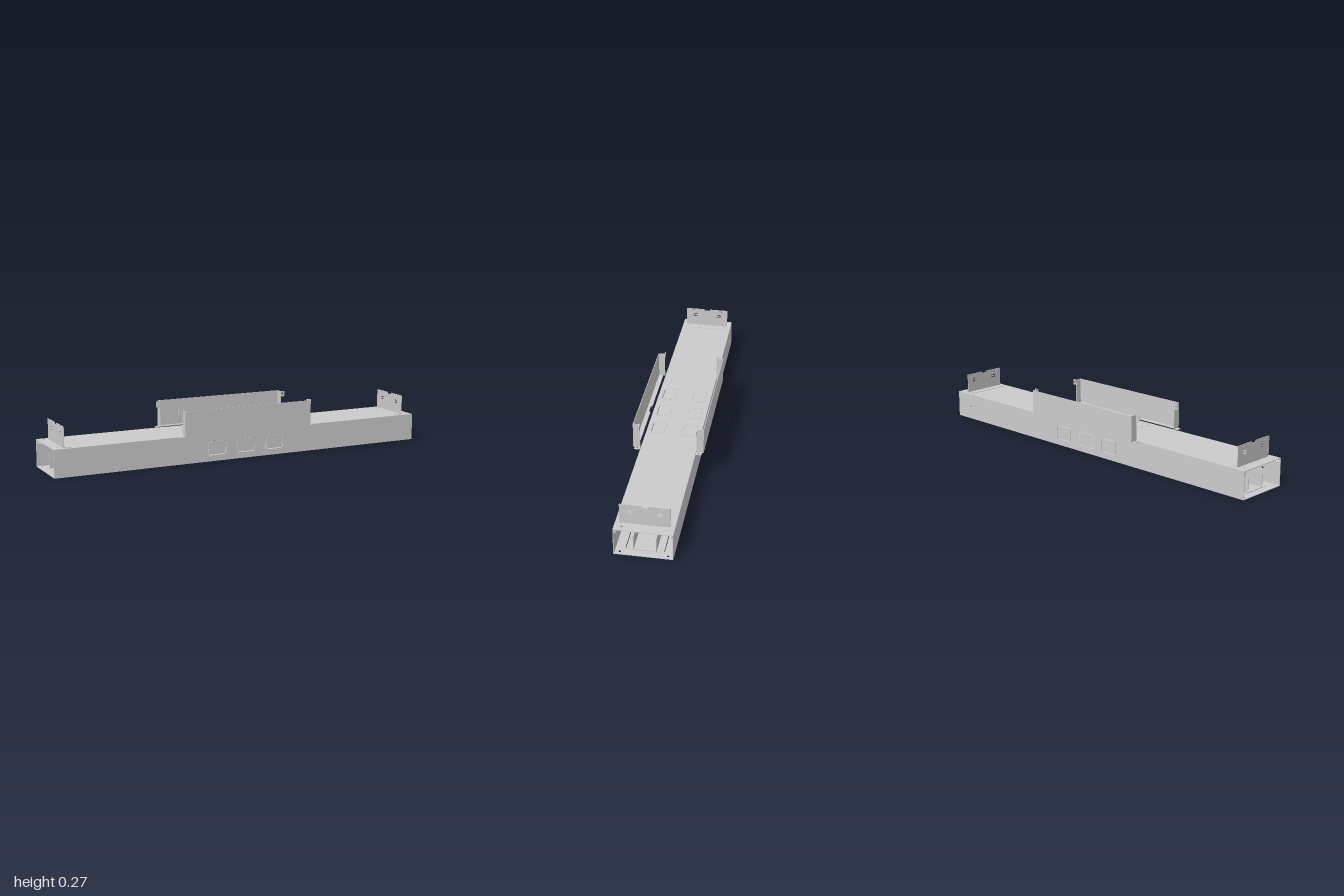
import * as THREE from 'three';

const T = 0.003; // sheet thickness
const metal = new THREE.MeshStandardMaterial({ color: 0xcccccc, side: THREE.DoubleSide });

const poly = (pts) => pts.map(([x, y]) => new THREE.Vector2(x, y));
const rect = (x0, y0, x1, y1) => poly([[x0, y0], [x1, y0], [x1, y1], [x0, y1]]);
const rectHole = (...r) => new THREE.Path(rect(...r));
const roundHole = (x, y, r) => new THREE.Path().absarc(x, y, r, 0, Math.PI * 2, true);

// Thin sheet cut from an outline. Facing: 'z' (x, y), 'y' (x, -z) or 'x' (-z, y)
function sheet(name, outline, facing, at, holes = []) {
  const shape = new THREE.Shape(outline);
  shape.holes.push(...holes);
  const g = new THREE.ExtrudeGeometry(shape, { depth: T, bevelEnabled: false, curveSegments: 10 });
  g.translate(0, 0, -T / 2);
  if (facing === 'y') g.rotateX(-Math.PI / 2);
  if (facing === 'x') g.rotateY(Math.PI / 2);
  const mesh = new THREE.Mesh(g, metal);
  mesh.name = name;
  mesh.position.set(...at);
  return mesh;
}

// Four narrow slots around a knockout panel, held by bridges at the corners and sides
function knockout(x0, y0, x1, y1, s = 0.004) {
  const b = 0.007, ym = (y0 + y1) / 2;
  const holes = [
    rectHole(x0 + b, y0, x1 - b, y0 + s),
    rectHole(x0 + b, y1 - s, x1 - b, y1),
  ];
  for (const x of [x0, x1 - s]) {
    holes.push(rectHole(x, y0 + b, x + s, ym - b / 2));
    holes.push(rectHole(x, ym + b / 2, x + s, y1 - b));
  }
  return holes;
}

// Long rectangular duct, open at both ends
function duct() {
  const group = new THREE.Group();
  group.name = 'duct';
  const wallZ = 0.1345;
  const centres = [-0.16, 0, 0.16];

  const lidHoles = centres.flatMap((x) => [
    ...knockout(x - 0.05, 0.042, x + 0.05, 0.114),
    ...knockout(x - 0.05, -0.114, x + 0.05, -0.042),
  ]);
  const floorHoles = [];
  for (const s of [-1, 1]) {
    const a = s * 0.82, b = s * 0.96;
    floorHoles.push(...knockout(Math.min(a, b), -0.09, Math.max(a, b), 0.09, 0.003));
    for (const v of [-0.1, 0.1]) {
      lidHoles.push(roundHole(s * 0.97, v, 0.006));
      floorHoles.push(roundHole(s * 0.98, v * 1.1, 0.006), roundHole(s * 0.45, v, 0.004));
    }
  }
  floorHoles.push(roundHole(0, 0.03, 0.004), roundHole(0, -0.03, 0.004));
  group.add(sheet('lid', rect(-1, -0.136, 1, 0.136), 'y', [0, 0.1355, 0], lidHoles));
  group.add(sheet('floor', rect(-1, -0.136, 1, 0.136), 'y', [0, T / 2, 0], floorHoles));

  for (const s of [-1, 1]) {
    const holes = centres.flatMap((x) => knockout(x - 0.05, 0.03, x + 0.05, 0.105));
    for (const x of [-0.9, 0.9]) holes.push(roundHole(x, 0.068, 0.005));
    group.add(sheet('sideWall', rect(-1, T, 1, 0.134), 'z', [0, 0, s * wallZ], holes));
    // Lid lip folded down inside the wall, ending in a slanted hook
    group.add(sheet('lidLip', rect(-1, 0.122, 1, 0.134), 'z', [0, 0, s * (wallZ - 0.004)]));
    const hook = sheet('lidHook', rect(-1, -0.006, 1, 0.006), 'z', [0, 0.12, s * (wallZ - 0.006)]);
    hook.rotation.x = s * Math.PI / 4;
    group.add(hook);
  }
  return group;
}

// U-shaped tray standing inside one end of the duct
function tray(s) {
  const group = new THREE.Group();
  group.name = 'innerTray';
  group.position.x = s * 0.89;
  group.add(sheet('trayFloor', rect(-0.07, -0.053, 0.07, 0.053), 'y', [0, 0.0046, 0]));
  for (const z of [-0.0525, 0.0525]) {
    group.add(sheet('trayWall', rect(-0.07, 0.004, 0.07, 0.075), 'z', [0, 0, z]));
  }
  const screw = new THREE.Mesh(new THREE.CylinderGeometry(0.005, 0.005, 0.004, 12), metal);
  screw.name = 'trayScrew';
  screw.position.y = 0.007;
  group.add(screw);
  return group;
}

// Upright plate with slots at one end, on a folded foot
function endBracket(s) {
  const group = new THREE.Group();
  group.name = 'endBracket';
  group.position.x = s * 0.943;
  const outline = poly([[-0.116, 0.137], [0.116, 0.137], [0.116, 0.238], [0.015, 0.238],
    [0.015, 0.23], [-0.015, 0.23], [-0.015, 0.238], [-0.116, 0.238]]);
  const holes = [];
  for (const m of [-1, 1]) {
    holes.push(roundHole(m * 0.081, 0.229, 0.0035));
    // C-shaped slot around a small tongue
    holes.push(new THREE.Path(poly([[0.054, 0.191], [0.077, 0.191], [0.077, 0.208], [0.054, 0.208],
      [0.054, 0.203], [0.072, 0.203], [0.072, 0.196], [0.054, 0.196]].map(([u, v]) => [m * u, v]))));
  }
  group.add(sheet('endPlate', outline, 'x', [0, 0, 0], holes));
  const footHoles = [-0.1, 0.1].map((v) => roundHole(0, v, 0.005));
  group.add(sheet('endFoot', rect(-0.02, -0.116, 0.02, 0.116), 'y', [-s * 0.02, 0.1375, 0], footHoles));
  return group;
}

// Long folded panel beside the duct, built for the front
function sideBracket() {
  const group = new THREE.Group();
  group.name = 'sideBracket';
  const outer = 0.1715;
  group.add(sheet('sidePanel', rect(-0.345, 0.137, 0.345, 0.269), 'z', [0, 0, outer]));
  // Bottom lip with a shallow relief in the middle
  const lip = poly([[-0.345, -0.172], [0.345, -0.172], [0.345, -0.148], [0.03, -0.148],
    [0.02, -0.156], [-0.02, -0.156], [-0.03, -0.148], [-0.345, -0.148]]);
  group.add(sheet('bottomLip', lip, 'y', [0, 0.1385, 0]));
  for (const s of [-1, 1]) {
    const end = poly([[-0.173, 0.141], [-0.168, 0.136], [-0.142, 0.136], [-0.138, 0.14],
      [-0.138, 0.269], [-0.173, 0.269]]);
    group.add(sheet('endFlange', end, 'x', [s * 0.346, 0, 0]));
    group.add(sheet('upperEar', rect(-0.011, 0.24, 0.011, 0.269), 'z', [s * 0.357, 0, 0.1395],
      [roundHole(0, 0.255, 0.005)]));
    group.add(sheet('lowerEar', rect(-0.011, -0.165, 0.011, -0.138), 'y', [s * 0.357, 0.1385, 0],
      [roundHole(0, -0.151, 0.005)]));
  }
  return group;
}

export function createModel() {
  const model = new THREE.Group();
  model.name = 'cableDuct';
  model.add(duct());
  for (const s of [-1, 1]) model.add(tray(s), endBracket(s));
  const front = sideBracket();
  const back = sideBracket();
  back.rotation.y = Math.PI;
  model.add(front, back);
  return model;
}
